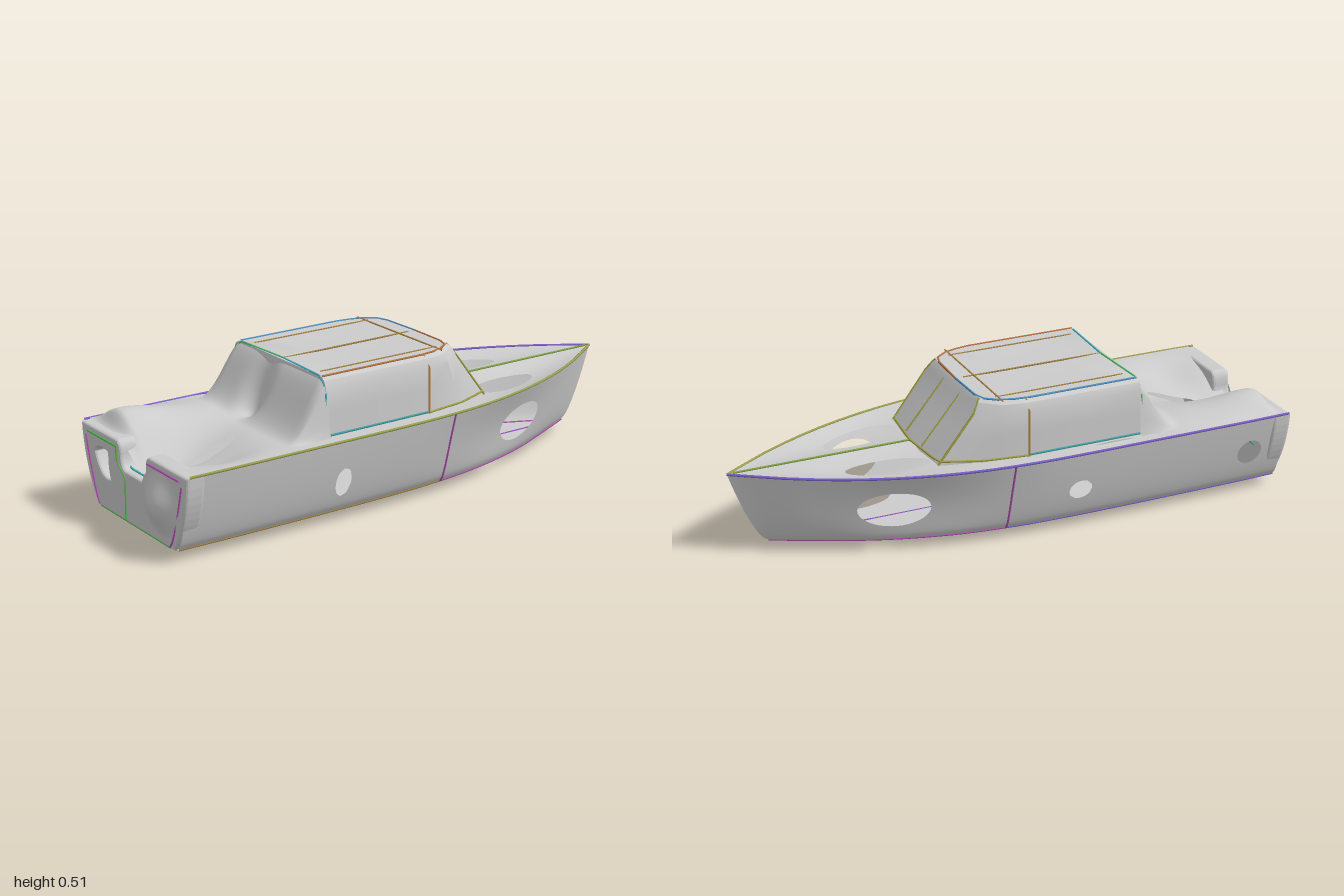
import * as THREE from 'three';
import { toCreasedNormals } from 'three/addons/utils/BufferGeometryUtils.js';

const grey = new THREE.MeshStandardMaterial({ color: 0xcccccc, side: THREE.DoubleSide });
const V = (x, y, z) => new THREE.Vector3(x, y, z);
const { lerp, smoothstep } = THREE.MathUtils;
const bump = (a, c, r) => Math.exp(-(((a - c) / r) ** 2));

// Half widths at ten equal stations, bow (0) to stern (1)
const stations = Array.from({ length: 11 }, (_, i) => i / 10);
const table = (w) => {
  const c = new THREE.CubicInterpolant(stations, w, 1);
  return (s) => c.evaluate(s)[0];
};
const topHalf = table([0, 0.125, 0.22, 0.285, 0.325, 0.343, 0.348, 0.348, 0.348, 0.348, 0.345]);
const chineHalf = table([0, 0.07, 0.14, 0.195, 0.235, 0.257, 0.265, 0.267, 0.267, 0.266, 0.262]);
const topZ = (s) => -1 + 1.95 * s;
const chineZ = (s) => topZ(s) + 0.13 * Math.max(0, 1 - s / 0.4) ** 1.5;

// Grid surface f(u, v); cells inside elliptical holes [u, v, ru, rv] are left out, edges snapped to the ellipse
function skin(f, nu, nv, holes) {
  const pos = [], idx = [], inside = [];
  for (let i = 0; i <= nu; i++) for (let j = 0; j <= nv; j++) {
    let u = i / nu, v = j / nv, hit = false;
    for (const [cu, cv, ru, rv] of holes) {
      const d = Math.hypot((u - cu) / ru, (v - cv) / rv);
      if (d < 1) {
        hit = true;
        if (d > 1e-3) { u = cu + (u - cu) / d; v = cv + (v - cv) / d; }
      }
    }
    inside.push(hit);
    pos.push(...f(u, v).toArray());
  }
  for (let i = 0; i < nu; i++) for (let j = 0; j < nv; j++) {
    const a = i * (nv + 1) + j, b = a + nv + 1;
    if ([a, b, a + 1, b + 1].every((k) => inside[k])) continue;
    idx.push(a, b, a + 1, b, b + 1, a + 1);
  }
  const g = new THREE.BufferGeometry();
  g.setAttribute('position', new THREE.Float32BufferAttribute(pos, 3));
  g.setIndex(idx);
  g.computeVertexNormals();
  return g;
}

const side = (sx) => (s, v) => {
  const dent = 0.02 * Math.sin(Math.PI * v) * bump(s, 0.3, 0.15) * Math.min(1, s * 8);
  const x = lerp(chineHalf(s), topHalf(s), Math.pow(v, 0.65)) - dent;
  return V(sx * x, lerp(0.04, 0.31, v), lerp(chineZ(s), topZ(s), Math.pow(v, 0.65)));
};
const bottom = (s, v) => {
  const x = chineHalf(s) * (2 * v - 1);
  const lobes = 0.041 * bump(x, -0.14, 0.1) + 0.021 * bump(x, 0.15, 0.11);
  const swell = bump(s, 0.92, 0.16) * (1 - smoothstep(s, 0.94, 1));
  return V(x, 0.04 - lobes * swell * Math.min(1, Math.sin(Math.PI * v) * 3), chineZ(s));
};
const deck = (u, v) => {
  const s = u * 0.74;
  const sag = 0.025 * Math.abs(Math.sin(2 * Math.PI * v)) * bump(s, 0.25, 0.13);
  return V(topHalf(s) * (2 * v - 1), 0.31 - sag, topZ(s));
};
// Draped surface falling from the cabin roof into the stern well
const cockpit = (u, v) => {
  const z = lerp(0.385, 0.93, u), x = 0.342 * (2 * v - 1), ax = Math.abs(x);
  const edge = Math.pow(Math.abs(2 * v - 1), 8);
  const fall = Math.pow(1 - smoothstep(z, 0.36, 0.55), 1.2) * 1.08;
  const shoulder = 1 - 0.95 * smoothstep(ax, 0.278, 0.3) - 0.1 * smoothstep(ax, 0.25, 0.28);
  const well = 0.095 * bump(x, 0.02, 0.11) * smoothstep(z, 0.5, 0.85);
  const lump = 0.055 * bump(x, -0.23, 0.12) * bump(z, 0.86, 0.16) * (1 - smoothstep(z, 0.88, 0.93));
  const hump = lump + 0.015 * bump(x, -0.2, 0.12) * bump(z, 0.6, 0.15);
  const dip = 0.04 * bump(x, 0.17, 0.1) * bump(z, 0.75, 0.13);
  const fold = 0.08 * bump(x, -0.05, 0.05) * bump(z, 0.45, 0.05);
  return V(x, 0.312 + 0.19 * fall * shoulder - fold + (1 - edge) * (hump - well - dip), z);
};

// Cabin outline, half: [base x, base z, top x, top z]
const cabinHalf = [
  [0, -0.35, 0, -0.18], [0.205, -0.33, 0.21, -0.175], [0.26, -0.19, 0.265, -0.11],
  [0.283, -0.03, 0.28, -0.03], [0.285, 0.2, 0.28, 0.2], [0.285, 0.4, 0.28, 0.39], [0, 0.4, 0, 0.39],
];
const cabinRing = [...cabinHalf, ...cabinHalf.slice(1, -1).reverse().map(([a, b, c, d]) => [-a, b, -c, d])];
// Levels: [y, blend from base to top outline, inward scale]
const cabinLevels = [[0.3, 0, 1], [0.4, 0.5, 1], [0.475, 0.87, 1], [0.5, 0.96, 0.96], [0.51, 1, 0.89], [0.506, 1, 0.5], [0.504, 1, 0]];
function cabinPoint(k, level) {
  const [a, b, c, d] = cabinRing[k % cabinRing.length], [y, t, s] = cabinLevels[level];
  return V(lerp(a, c, t) * s, y, 0.11 + (lerp(b, d, t) - 0.11) * (s > 0.9 ? 1 : s + 0.1 * (s > 0.5)));
}

export function createModel() {
  const model = new THREE.Group();
  const add = (name, geometry, material = grey, parent = model) => {
    const m = new THREE.Mesh(geometry, material);
    m.name = name;
    parent.add(m);
    return m;
  };

  // Hull, decks and stern well
  const sideHoles = {
    1: [[0.255, 0.48, 0.06, 0.26], [0.69, 0.42, 0.016, 0.2]],
    '-1': [[0.255, 0.48, 0.065, 0.26], [0.59, 0.45, 0.022, 0.14], [0.93, 0.5, 0.025, 0.18]],
  };
  for (const sx of [1, -1]) add(sx > 0 ? 'leftHullSide' : 'rightHullSide', skin(side(sx), 120, 18, sideHoles[sx]));
  add('hullBottom', skin(bottom, 90, 40, [[0.8, 0.61, 0.08, 0.06], [0.58, 0.32, 0.03, 0.08], [0.26, 0.13, 0.055, 0.1], [0.26, 0.87, 0.055, 0.1]]));
  add('deck', skin(deck, 90, 60, [[0.36, 0.25, 0.1, 0.11], [0.36, 0.75, 0.1, 0.11], [0.89, 0.06, 0.055, 0.02]]));
  add('cockpit', skin(cockpit, 60, 80, [[0.58, 0.575, 0.2, 0.045]]));

  // Stern board with notch, opening and a soft swelling
  const board = new THREE.Shape();
  board.moveTo(-0.245, 0.045).lineTo(0.245, 0.045).quadraticCurveTo(0.325, 0.15, 0.337, 0.3);
  board.lineTo(0.105, 0.3).quadraticCurveTo(0.09, 0.295, 0.09, 0.25).quadraticCurveTo(0.085, 0.205, 0.05, 0.205);
  board.lineTo(-0.05, 0.205).quadraticCurveTo(-0.085, 0.21, -0.09, 0.26).quadraticCurveTo(-0.09, 0.3, -0.11, 0.3);
  board.lineTo(-0.337, 0.3).quadraticCurveTo(-0.325, 0.15, -0.245, 0.045);
  const opening = new THREE.Path();
  opening.moveTo(-0.265, 0.225).quadraticCurveTo(-0.25, 0.27, -0.16, 0.253);
  opening.quadraticCurveTo(-0.165, 0.18, -0.145, 0.15).quadraticCurveTo(-0.22, 0.12, -0.265, 0.225);
  board.holes.push(opening);
  const boardGeo = new THREE.ExtrudeGeometry(board, { depth: 0.045, bevelSize: 0.009, bevelThickness: 0.012, bevelSegments: 3, curveSegments: 10 });
  add('sternBoard', boardGeo.translate(0, 0, 0.903));
  const swell = Array.from({ length: 13 }, (_, i) => new THREE.Vector2(i / 12, 0.5 + 0.5 * Math.cos((Math.PI * i) / 12)));
  const bulge = add('sternBulge', new THREE.LatheGeometry(swell, 32).rotateX(Math.PI / 2));
  bulge.scale.set(0.13, 0.12, 0.041);
  bulge.position.set(0.18, 0.17, 0.959);

  // Cabin with raked windscreen
  const n = cabinRing.length, pos = [], idx = [];
  cabinLevels.forEach((_, l) => { for (let k = 0; k < n; k++) pos.push(...cabinPoint(k, l).toArray()); });
  for (let l = 0; l < cabinLevels.length - 1; l++) for (let k = 0; k < n; k++) {
    const a = l * n + k, b = l * n + (k + 1) % n;
    idx.push(a, a + n, b, b, a + n, b + n);
  }
  const cabin = new THREE.BufferGeometry();
  cabin.setAttribute('position', new THREE.Float32BufferAttribute(pos, 3));
  cabin.setIndex(idx);
  add('cabin', toCreasedNormals(cabin, 0.5));

  // Coloured seam lines
  const seams = new THREE.Group();
  seams.name = 'seams';
  model.add(seams);
  const line = (name, color, points, r = 0.004) => {
    const path = new THREE.CurvePath();
    for (let i = 1; i < points.length; i++) path.add(new THREE.LineCurve3(points[i - 1], points[i]));
    add(name, new THREE.TubeGeometry(path, points.length * 3, r, 6), new THREE.MeshStandardMaterial({ color }), seams);
  };
  const along = (f, a = 0, b = 1) => Array.from({ length: 25 }, (_, i) => f(lerp(a, b, i / 24)));
  for (const sx of [1, -1]) {
    const f = side(sx), warm = sx > 0;
    line('gunwaleSeam', warm ? 0x9aa050 : 0x7a60c8, along((s) => f(s, 1)), 0.005);
    line('bowChineSeam', 0xb04fb0, along((s) => f(s, 0), 0, 0.46));
    line('sternChineSeam', warm ? 0xa08040 : 0x7a60c8, along((s) => f(s, 0), 0.46, 1));
    line('hullJointSeam', 0xb04fb0, along((v) => f(0.46, v)));
    line('sternCornerSeam', 0xc050c0, along((v) => V(sx * lerp(0.23, 0.312, Math.pow(v, 0.7)), lerp(0.045, 0.27, v), 0.96)));
    line('sternTopSeam', warm ? 0xc050c0 : 0x50c050, [V(sx * 0.1, 0.286, 0.96), V(sx * 0.3, 0.286, 0.96)]);
    const c = (k, l) => cabinPoint(sx > 0 ? k : (n - k) % n, l);
    line('windscreenSeam', 0xa0a040, [c(1, 0), c(1, 2), c(1, 4)]);
    line('windscreenMullion', 0xa0a040, [V(sx * 0.07, 0.313, -0.335), V(sx * 0.07, 0.49, -0.187)], 0.003);
    line('cabinFrontSeam', 0xb08040, [c(3, 0), c(3, 2), c(3, 4)]);
    line('cabinRearSeam', warm ? 0x40b0c0 : 0x50c070, [c(5, 0), c(5, 2), c(5, 4), V(0, 0.51, 0.375)]);
    line('roofEdgeSeam', warm ? 0xb07040 : 0x5090c0, [c(0, 4), c(1, 4), c(2, 4), c(3, 4), c(5, 4)]);
    line('windscreenBaseSeam', 0xa0a040, [c(0, 0), c(1, 0), c(2, 0), c(3, 0)].map((p) => p.setY(0.313)));
    line('cabinBaseSeam', 0x40a0a0, [c(3, 0), c(5, 0)].map((p) => p.setY(0.315)));
    line('roofSeam', 0xa08040, [V(sx * 0.2, 0.509, -0.12), V(sx * 0.2, 0.509, 0.36)], 0.003);
  }
  line('foredeckSeam', 0x80a040, [V(0, 0.312, -0.98), V(0, 0.312, -0.35)]);
  line('roofCentreSeam', 0xa08040, [V(0, 0.509, -0.15), V(0, 0.508, 0.37)], 0.003);
  line('roofCrossSeam', 0xb08040, [V(-0.25, 0.51, -0.11), V(0.25, 0.51, -0.11)], 0.003);
  line('keelSeam', 0x9050c0, [V(0, 0.04, -0.86), V(0, 0.032, 0.95)]);
  line('sternBaseSeam', 0x50c050, [V(-0.23, 0.04, 0.956), V(0.23, 0.04, 0.956)]);
  line('sternNotchSeam', 0x60c050, [V(-0.105, 0.29, 0.96), V(-0.105, 0.235, 0.96), V(-0.05, 0.193, 0.96), V(-0.055, 0.045, 0.96)]);
  line('notchFloorSeam', 0x40b0b0, [V(-0.075, 0.222, 0.93), V(-0.05, 0.215, 0.93), V(0.06, 0.215, 0.93)]);
  line('openingStrut', 0xc0a040, [V(-0.25, 0.245, 0.9), V(-0.2, 0.15, 0.89)]);
  line('openingBar', 0x40b0b0, [V(-0.23, 0.15, 0.89), V(-0.15, 0.15, 0.89)]);
  return model;
}
